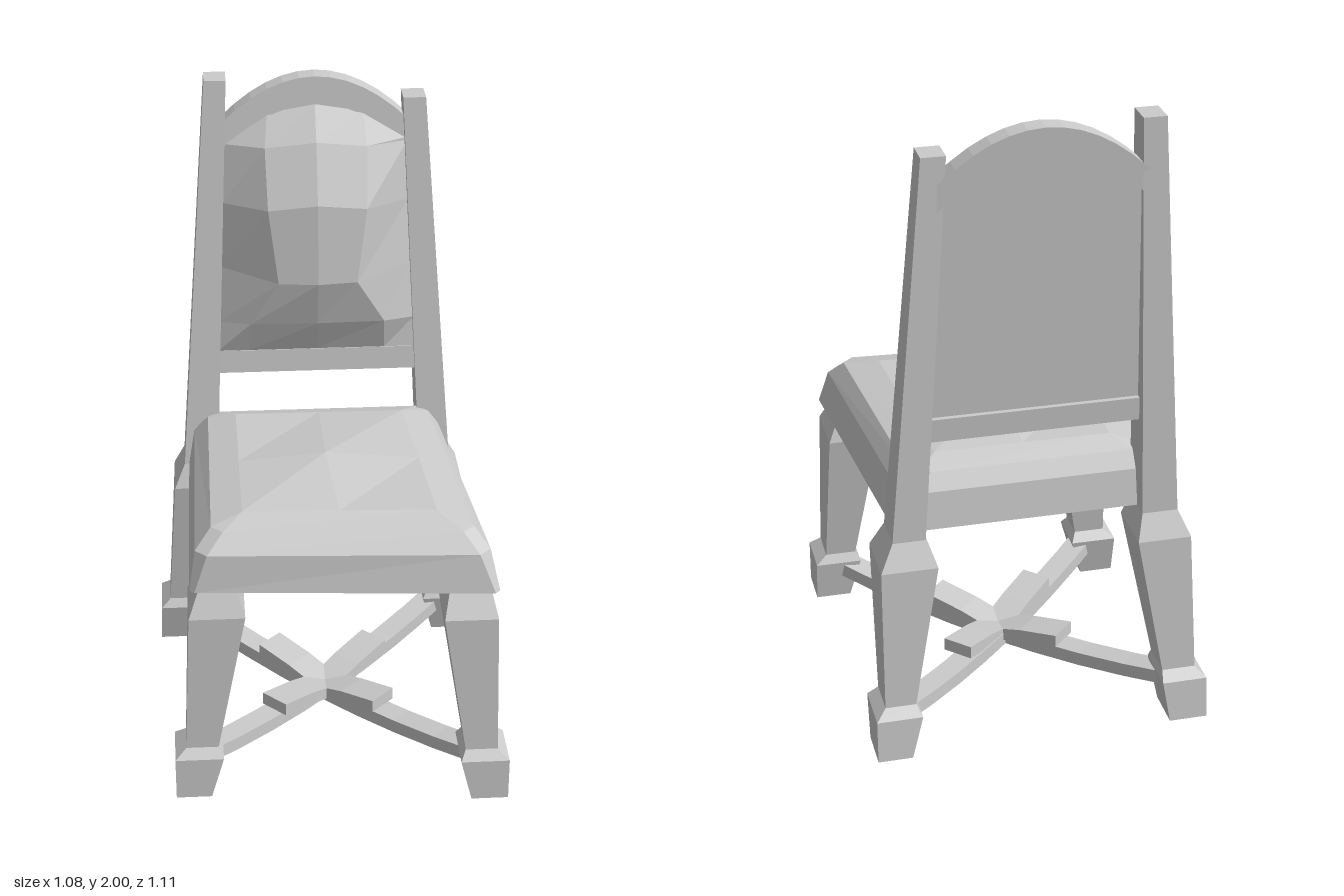
import * as THREE from 'three';

const material = new THREE.MeshStandardMaterial({ color: 0xcccccc, flatShading: true, side: THREE.DoubleSide });

function meshFromTriangles(name, tris) {
  const geo = new THREE.BufferGeometry();
  geo.setAttribute('position', new THREE.Float32BufferAttribute(tris.flat(2), 3));
  geo.computeVertexNormals();
  return named(name, geo);
}

function named(name, geo) {
  const mesh = new THREE.Mesh(geo, material);
  mesh.name = name;
  return mesh;
}

// Solid through rings of corners, each ring counterclockwise about the path
function loft(name, rings, capTop = true) {
  const tris = [];
  const n = rings[0].length;
  for (let i = 0; i < rings.length - 1; i++) {
    for (let j = 0; j < n; j++) {
      const k = (j + 1) % n;
      const [a, b, c, d] = [rings[i][j], rings[i][k], rings[i + 1][k], rings[i + 1][j]];
      tris.push([a, b, c], [a, c, d]);
    }
  }
  const first = rings[0], last = rings[rings.length - 1];
  for (let j = 1; j < n - 1; j++) {
    tris.push([first[0], first[j + 1], first[j]]);
    if (capTop) tris.push([last[0], last[j], last[j + 1]]);
  }
  return meshFromTriangles(name, tris);
}

// Open faceted surface through rows of points
function grid(name, rows) {
  const tris = [];
  for (let i = 0; i < rows.length - 1; i++) {
    for (let j = 0; j < rows[0].length - 1; j++) {
      const [a, b, c, d] = [rows[i][j], rows[i][j + 1], rows[i + 1][j], rows[i + 1][j + 1]];
      tris.push([a, c, b], [b, c, d]);
    }
  }
  return meshFromTriangles(name, tris);
}

// Horizontal rectangle at height y
const rect = ([y, x0, x1, z0, z1]) => [[x0, y, z1], [x1, y, z1], [x1, y, z0], [x0, y, z0]];

// Rectangular bar along a path of points that runs mostly level
function bar(name, path, width, height) {
  const dir = path[path.length - 1].clone().sub(path[0]).setY(0).normalize();
  const side = new THREE.Vector3(0, 1, 0).cross(dir);
  const corners = [[-1, -1], [1, -1], [1, 1], [-1, 1]];
  return loft(name, path.map(p => corners.map(([s, u]) =>
    p.clone().addScaledVector(side, s * width / 2).add(new THREE.Vector3(0, u * height / 2, 0)).toArray())));
}

export function createModel() {
  const chair = new THREE.Group();
  chair.name = 'chair';

  // Legs: foot, ankle, knee and top as [y, x0, x1, z0, z1]
  const legs = {
    frontRightLeg: [[0, -0.495, -0.385, 0.37, 0.49], [0.14, -0.495, -0.345, 0.335, 0.49], [0.17, -0.46, -0.36, 0.36, 0.465],
      [0.64, -0.44, -0.27, 0.28, 0.47], [0.73, -0.405, -0.295, 0.31, 0.43]],
    frontLeftLeg: [[0, 0.42, 0.535, 0.42, 0.555], [0.14, 0.385, 0.535, 0.395, 0.555], [0.17, 0.4, 0.5, 0.41, 0.53],
      [0.64, 0.325, 0.487, 0.325, 0.525], [0.73, 0.345, 0.45, 0.345, 0.47]],
    backRightLeg: [[0, -0.54, -0.42, -0.555, -0.42], [0.14, -0.535, -0.395, -0.55, -0.385], [0.17, -0.505, -0.4, -0.52, -0.4],
      [0.64, -0.475, -0.31, -0.52, -0.33], [0.72, -0.44, -0.33, -0.485, -0.355]],
    backLeftLeg: [[0, 0.4, 0.507, -0.555, -0.42], [0.14, 0.365, 0.507, -0.55, -0.385], [0.17, 0.38, 0.475, -0.52, -0.4],
      [0.64, 0.305, 0.477, -0.52, -0.33], [0.72, 0.335, 0.435, -0.485, -0.355]],
  };
  for (const [name, sections] of Object.entries(legs)) chair.add(loft(name, sections.map(rect)));

  // Back posts, leaning back and inward
  chair.add(loft('rightPost', [rect([0.72, -0.44, -0.33, -0.485, -0.355]), rect([2, -0.344, -0.276, -0.548, -0.46])]));
  chair.add(loft('leftPost', [rect([0.72, 0.335, 0.435, -0.485, -0.355]), rect([1.935, 0.273, 0.344, -0.54, -0.455])]));

  // Seat: each ring has four corners, back ones slightly narrower, cut by a chamfer c
  const seatRing = (y, [fl, fr, br, bl], c) => [
    [fl[0], y, fl[1] - c], [fl[0] + c, y, fl[1]], [fr[0] - c, y, fr[1]], [fr[0], y, fr[1] - c],
    [br[0], y, br[1] + c], [br[0] - c, y, br[1]], [bl[0] + c, y, bl[1]], [bl[0], y, bl[1] + c]];
  const crown = [[-0.27, 0.31], [0.315, 0.335], [0.27, -0.315], [-0.27, -0.32]];
  chair.add(loft('seat', [
    seatRing(0.72, [[-0.435, 0.445], [0.492, 0.505], [0.415, -0.43], [-0.425, -0.43]], 0.015),
    seatRing(0.84, [[-0.415, 0.435], [0.465, 0.48], [0.395, -0.42], [-0.405, -0.42]], 0.035),
    seatRing(0.892, [[-0.365, 0.385], [0.42, 0.43], [0.36, -0.39], [-0.36, -0.39]], 0.035),
    seatRing(0.917, crown, 0),
  ], false));
  const mid = (p, q) => [(p[0] + q[0]) / 2, (p[1] + q[1]) / 2];
  const [fl, fr, br, bl] = crown;
  const plan = [[bl, mid(bl, br), br], [mid(bl, fl), [0, 0.025], mid(br, fr)], [fl, mid(fl, fr), fr]];
  chair.add(grid('seatCrown', plan.map((row, i) => row.map(([x, z], j) => [x, i === 1 && j === 1 ? 0.955 : 0.917, z]))));

  // Back frame parts are extruded flat, then sheared to lean with the posts
  const lean = y => -0.43 - 0.095 * (y - 1.03);
  function leaningPanel(name, points, depth) {
    const shape = new THREE.Shape(points.map(p => new THREE.Vector2(...p)));
    const geo = new THREE.ExtrudeGeometry(shape, { depth, bevelEnabled: false });
    geo.translate(0, 0, -depth / 2);
    const pos = geo.attributes.position;
    for (let i = 0; i < pos.count; i++) pos.setZ(i, pos.getZ(i) + lean(pos.getY(i)));
    geo.computeVertexNormals();
    return named(name, geo);
  }
  const archCurve = (top, end) => Array.from({ length: 13 }, (_, i) => {
    const t = i / 6 - 1;
    return [t * 0.3, end + (top - end) * (1 - t * t)];
  });
  const inner = archCurve(1.91, 1.77);
  chair.add(leaningPanel('topArch', [...archCurve(1.998, 1.85), ...inner.slice().reverse()], 0.066));
  chair.add(leaningPanel('bottomRail', [[-0.34, 1.03], [0.34, 1.03], [0.335, 1.105], [-0.335, 1.105]], 0.066));
  chair.add(leaningPanel('backBoard', [[-0.33, 1.1], [0.33, 1.1], ...inner.slice().reverse()], 0.035));

  // Padded back: half profile rows of [x, y, z], mirrored about the middle
  const rim = (x, y) => [x, y, lean(y) + 0.03];
  const padRows = [
    [rim(0, 1.91), rim(0.15, 1.885), rim(0.29, 1.8)],
    [[0, 1.81, -0.41], [0.16, 1.79, -0.425], rim(0.29, 1.79)],
    [[0, 1.63, -0.332], [0.155, 1.61, -0.35], rim(0.295, 1.6)],
    [[0, 1.37, -0.315], [0.125, 1.37, -0.33], rim(0.305, 1.39)],
    [[0, 1.215, -0.362], [0.215, 1.215, -0.368], rim(0.315, 1.205)],
    [rim(0, 1.105), rim(0.22, 1.105), rim(0.32, 1.105)],
  ];
  chair.add(grid('backCushion', padRows.map(([c, m, e]) => {
    const flip = ([x, y, z]) => [-x, y, z];
    return [flip(e), flip(m), c, m, e];
  })));

  // Sagging cross stretchers between opposite feet
  const feet = [[[-0.42, 0.42], [0.43, -0.47]], [[0.46, 0.47], [-0.46, -0.47]]];
  feet.forEach(([a, b], n) => {
    const path = Array.from({ length: 9 }, (_, i) => {
      const t = i / 8;
      return new THREE.Vector3(a[0] + (b[0] - a[0]) * t, 0.06 + 0.055 * (2 * t - 1) ** 2, a[1] + (b[1] - a[1]) * t);
    });
    chair.add(bar('crossStretcher' + (n + 1), path, 0.075, 0.045));
  });

  // Short raised arms at the crossing
  for (const sx of [-1, 1]) {
    for (const sz of [-1, 1]) {
      const path = [[0, 0.065], [0.08, 0.095], [0.175, 0.118]].map(([r, y]) => new THREE.Vector3(sx * r, y, sz * r));
      chair.add(bar('crossArm', path, 0.1, 0.042));
    }
  }
  return chair;
}
